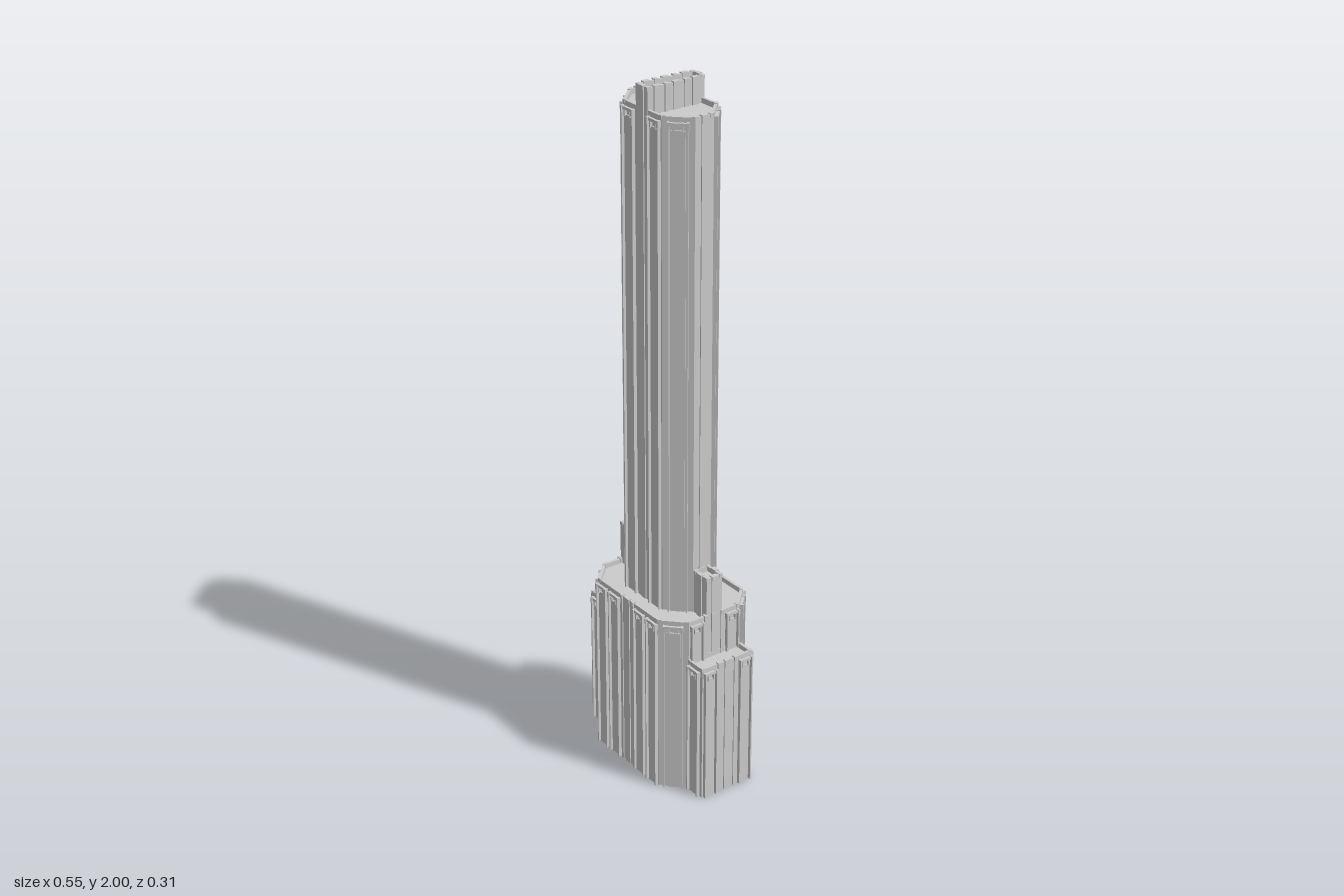
import * as THREE from 'three';
import { mergeGeometries } from 'three/addons/utils/BufferGeometryUtils.js';

const material = new THREE.MeshStandardMaterial({ color: 0xcccccc, flatShading: true, side: THREE.DoubleSide });

// Plan outline of a rectangle with chamfered corners, as [x, z] pairs
function outline(hx, hz, cut = 0) {
  if (!cut) return [[hx, -hz], [hx, hz], [-hx, hz], [-hx, -hz]];
  return [
    [hx, -hz + cut], [hx, hz - cut], [hx - cut, hz], [-hx + cut, hz],
    [-hx, hz - cut], [-hx, -hz + cut], [-hx + cut, -hz], [hx - cut, -hz],
  ];
}

function toPath(points, Type) {
  return new Type(points.map(([x, z]) => new THREE.Vector2(x, -z)));
}

function addMesh(group, name, geometry) {
  const mesh = new THREE.Mesh(geometry, material);
  mesh.name = name;
  group.add(mesh);
}

function box(w, h, d, x, y, z) {
  return new THREE.BoxGeometry(w, h, d).translate(x, y, z);
}

// Framed window bay: two ribs, a shallow infill strip and a bracketed head
function bay(x, width, y0, y1) {
  const parts = [];
  const ribTop = y1 - 0.012;
  for (const s of [-1, 1]) {
    parts.push(box(0.004, ribTop - y0, 0.012, x + s * width / 2, (y0 + ribTop) / 2, 0.004));
    parts.push(box(0.006, 0.018, 0.014, x + s * width / 2, ribTop - 0.009, 0.004));
    parts.push(box(0.004, 0.016, 0.009, x + s * width / 4, y1 - 0.03, 0.0035));
  }
  const stripTop = y1 - 0.035;
  parts.push(box(width * 0.76, stripTop - y0, 0.005, x, (y0 + stripTop) / 2, 0.0015));
  parts.push(box(width * 0.9, 0.008, 0.009, x, y1 - 0.018, 0.003));
  return parts;
}

// Flat pier ending in a merlon over the parapet
function pier(x, width, y0, y1) {
  return [
    box(width, y1 - y0, 0.004, x, (y0 + y1) / 2, 0.001),
    box(width, 0.012, 0.013, x, y1 - 0.003, -0.002),
  ];
}

// Hollow block: wall ring, sunken roof, corner caps and facade trim.
// trim.x / trim.z / trim.d list the bays and piers on side, front and chamfer walls.
function block(name, { hx, hz, cut = 0, y0, y1, trim }) {
  const group = new THREE.Group();
  group.name = name;
  const t = 0.008;
  const outer = outline(hx, hz, cut);
  const inner = outline(hx - t, hz - t, cut ? cut - t * 0.586 : 0);
  const ring = toPath(outer, THREE.Shape);
  ring.holes.push(toPath(inner, THREE.Path));
  const walls = new THREE.ExtrudeGeometry(ring, { depth: y1 - y0, bevelEnabled: false });
  addMesh(group, 'walls', walls.rotateX(-Math.PI / 2).translate(0, y0, 0));
  const roof = new THREE.ShapeGeometry(toPath(outline(hx - t / 2, hz - t / 2, cut ? cut - t * 0.3 : 0), THREE.Shape));
  addMesh(group, 'roof', roof.rotateX(-Math.PI / 2).translate(0, y1 - 0.014, 0));

  const details = [];
  outer.forEach(([ax, az], i) => {
    const [bx, bz] = outer[(i + 1) % outer.length];
    const length = Math.hypot(bx - ax, bz - az);
    const nx = (bz - az) / length;
    const nz = -(bx - ax) / length;
    const kind = Math.abs(nx) > 0.95 ? 'x' : Math.abs(nz) > 0.95 ? 'z' : 'd';
    const side = [];
    for (const [type, pos, width] of trim[kind] || []) {
      for (const p of pos ? [-pos, pos] : [0]) {
        side.push(...(type === 'bay' ? bay : pier)(p, width, y0, y1));
      }
    }
    // Corner caps at both ends of the wall
    for (const s of [-1, 1]) {
      side.push(box(0.01, 0.01, 0.01, s * (length / 2 - 0.005), y1 - 0.003, -0.004));
    }
    const place = new THREE.Matrix4().makeRotationY(Math.atan2(nx, nz));
    place.setPosition((ax + bx) / 2, 0, (az + bz) / 2);
    for (const g of side) details.push(g.applyMatrix4(place));
  });
  addMesh(group, 'facadeTrim', mergeGeometries(details));
  return group;
}

export function createModel() {
  const model = new THREE.Group();
  model.name = 'skyscraper';

  // Wide podium
  model.add(block('podium', {
    hx: 0.202, hz: 0.146, cut: 0.06, y0: 0, y1: 0.537,
    trim: {
      z: [['bay', 0.059, 0.042], ['bay', 0.118, 0.042], ['pier', 0, 0.02], ['pier', 0.026, 0.008]],
      x: [['bay', 0.06, 0.038], ['pier', 0, 0.02], ['pier', 0.028, 0.012]],
      d: [['bay', 0, 0.05]],
    },
  }));

  // Tall shaft
  model.add(block('shaft', {
    hx: 0.143, hz: 0.088, cut: 0.06, y0: 0.515, y1: 1.94,
    trim: {
      z: [['bay', 0.055, 0.045]],
      x: [['pier', 0, 0.018]],
      d: [['bay', 0, 0.05]],
    },
  }));

  // Raised crest running through the shaft from front to back
  model.add(block('crest', {
    hx: 0.025, hz: 0.089, y0: 0.515, y1: 1.997,
    trim: {
      x: [['pier', 0, 0.02], ['pier', 0.03, 0.012], ['pier', 0.06, 0.02]],
      z: [['pier', 0, 0.02]],
    },
  }));

  // Mirrored wings and buttress turrets
  for (const s of [-1, 1]) {
    const wing = block(s > 0 ? 'leftWing' : 'rightWing', {
      hx: 0.034, hz: 0.086, y0: 0, y1: 0.418,
      trim: {
        x: [['bay', 0.06, 0.038], ['pier', 0, 0.02], ['pier', 0.028, 0.012]],
        z: [['bay', 0, 0.044]],
      },
    });
    wing.position.x = s * 0.23;
    model.add(wing);

    const turret = block(s > 0 ? 'leftTurret' : 'rightTurret', {
      hx: 0.031, hz: 0.026, y0: 0.515, y1: 0.652,
      trim: { z: [['pier', 0, 0.02]], x: [['pier', 0, 0.02]] },
    });
    turret.position.x = s * 0.171;
    model.add(turret);
  }
  return model;
}
